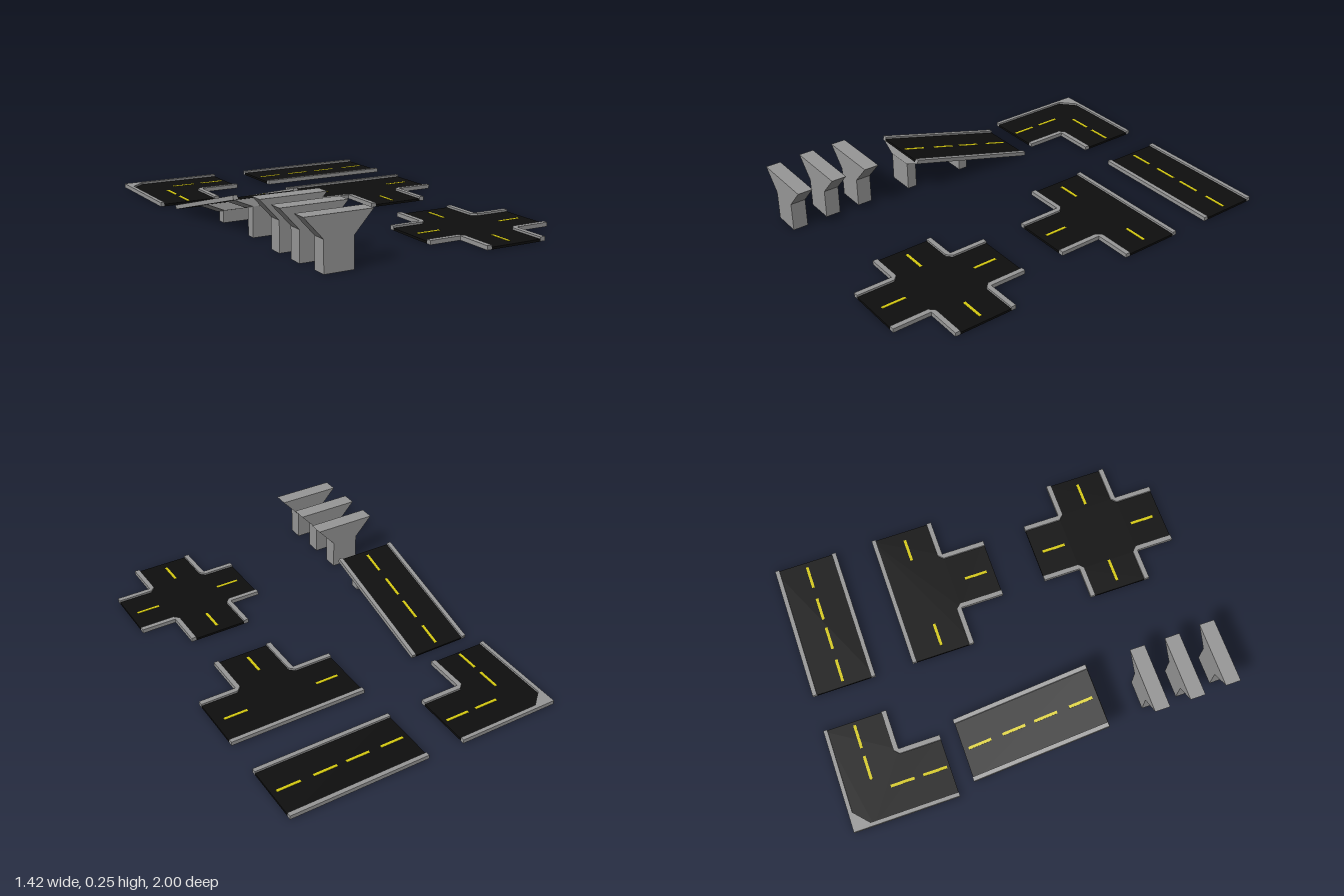
import * as THREE from 'three';

const asphalt = new THREE.MeshStandardMaterial({ name: 'asphalt', color: 0x0e0e0e });
const concrete = new THREE.MeshStandardMaterial({ name: 'concrete', color: 0x979797 });
const paint = new THREE.MeshStandardMaterial({ name: 'yellow paint', color: 0xd6ca10 });

const W = 0.025;      // curb width
const E = 0.001;      // curb overhang past the road slab
const ROAD_TOP = 0.012, CURB_TOP = 0.022;

// Horizontal slab from a plan outline of [x, z] points
function slab(parent, name, points, y0, y1, material) {
  const shape = new THREE.Shape(points.map(([x, z]) => new THREE.Vector2(x, -z)));
  const geo = new THREE.ExtrudeGeometry(shape, { depth: y1 - y0, bevelEnabled: false });
  geo.rotateX(-Math.PI / 2).translate(0, y0, 0);
  return add(parent, name, geo, material);
}

function add(parent, name, geo, material) {
  const mesh = new THREE.Mesh(geo, material);
  mesh.name = name;
  parent.add(mesh);
  return mesh;
}

function box(parent, name, x0, x1, y0, y1, z0, z1, material) {
  const geo = new THREE.BoxGeometry(x1 - x0, y1 - y0, z1 - z0);
  geo.translate((x0 + x1) / 2, (y0 + y1) / 2, (z0 + z1) / 2);
  return add(parent, name, geo, material);
}

const road = (g, points) => slab(g, 'roadSurface', points, 0.001, ROAD_TOP, asphalt);
const curb = (g, points) => slab(g, 'curb', points, 0.0015, CURB_TOP, concrete);
const straightCurb = (g, x0, x1, z0, z1) => curb(g, [[x0, z0], [x1, z0], [x1, z1], [x0, z1]]);

// Curb around a re-entrant corner; (sx, sz) points to the empty quadrant
function cornerCurb(g, cx, cz, sx, sz, lx, lz) {
  const ex = cx + sx * lx, ez = cz + sz * lz;
  curb(g, [[ex, cz], [cx, cz], [cx, ez], [cx - sx * W, ez],
    [cx - sx * W, cz], [cx, cz - sz * W], [ex, cz - sz * W]]);
}

// Lane dashes along x, and along z (cut through the slab)
const dashX = (g, z, x0, x1) =>
  box(g, 'laneDash', x0, x1, ROAD_TOP - 0.002, ROAD_TOP + 0.0015, z - 0.007, z + 0.007, paint);
const dashZ = (g, x, z0, z1) =>
  box(g, 'laneDash', x - 0.007, x + 0.007, 0, ROAD_TOP + 0.0015, z0, z1, paint);

function piece(parent, name) {
  const g = new THREE.Group();
  g.name = name;
  parent.add(g);
  return g;
}

// Straight road along x, centred
function straightRoad(parent, name) {
  const g = piece(parent, name), l = 0.3515, h = 0.162;
  road(g, [[-l, -h + E], [l, -h + E], [l, h - E], [-l, h - E]]);
  straightCurb(g, -l - E, l + E, -h, -h + 0.022);
  straightCurb(g, -l - E, l + E, h - 0.022, h);
  for (const x of [-0.325, -0.145, 0.022, 0.205]) dashX(g, 0, x, x + 0.12);
  return g;
}

function cornerRoad(parent) {
  const g = piece(parent, 'cornerRoad');
  const x0 = -0.71, x1 = -0.187, xi = -0.392, z0 = -1, z1 = -0.47, zi = -0.68, c = 0.075;
  road(g, [[x0 + E, z1 - E], [x0 + E, z0 + c + W], [x0 + c + W, z0 + E], [x1 - E, z0 + E],
    [x1 - E, zi - E], [xi - E, zi - E], [xi - E, z1 - E]]);
  // Outer curb with the filled, bevelled corner
  curb(g, [[x0, z1], [x0, z0], [x1, z0], [x1, z0 + 0.02], [x0 + 0.095, z0 + 0.02],
    [x0 + 0.02, z0 + 0.088], [x0 + 0.02, z1]]);
  cornerCurb(g, xi, zi, 1, 1, x1 - xi, z1 - zi);
  dashX(g, -0.848, -0.492, -0.37);
  dashX(g, -0.848, -0.328, -0.207);
  dashZ(g, -0.554, -0.77, -0.65);
  dashZ(g, -0.554, -0.606, -0.485);
}

function teeRoad(parent) {
  const g = piece(parent, 'teeRoad');
  const x0 = 0.002, x1 = 0.706, a = 0.202, b = 0.516, z0 = -0.482, zi = -0.158, z1 = 0.066;
  road(g, [[x0 + E, z0 + E], [x1 - E, z0 + E], [x1 - E, zi - E], [b - E, zi - E],
    [b - E, z1 - E], [a + E, z1 - E], [a + E, zi - E], [x0 + E, zi - E]]);
  straightCurb(g, x0, x1, z0, z0 + 0.022);
  cornerCurb(g, a, zi, -1, 1, a - x0, z1 - zi);
  cornerCurb(g, b, zi, 1, 1, x1 - b, z1 - zi);
  dashX(g, -0.317, 0.047, 0.167);
  dashX(g, -0.317, 0.537, 0.658);
  dashZ(g, 0.35, -0.09, 0.028);
}

function crossRoad(parent) {
  const g = piece(parent, 'crossRoad');
  const x0 = 0.042, x1 = 0.704, a = 0.204, b = 0.524, z0 = 0.293, z1 = 0.997, c = 0.484, d = 0.804;
  road(g, [[x0 + E, c + E], [a + E, c + E], [a + E, z0 + E], [b - E, z0 + E],
    [b - E, c + E], [x1 - E, c + E], [x1 - E, d - E], [b - E, d - E],
    [b - E, z1 - E], [a + E, z1 - E], [a + E, d - E], [x0 + E, d - E]]);
  for (const [cx, sx, lx] of [[a, -1, a - x0], [b, 1, x1 - b]]) {
    cornerCurb(g, cx, c, sx, -1, lx, c - z0);
    cornerCurb(g, cx, d, sx, 1, lx, z1 - d);
  }
  dashX(g, 0.645, 0.083, 0.204);
  dashX(g, 0.645, 0.543, 0.664);
  dashZ(g, 0.36, 0.338, 0.46);
  dashZ(g, 0.36, 0.83, 0.952);
}

// Upright profile in x-y, extruded from z0 to z1
function upright(parent, name, points, z0, z1) {
  const shape = new THREE.Shape(points.map(([x, y]) => new THREE.Vector2(x, y)));
  const geo = new THREE.ExtrudeGeometry(shape, { depth: z1 - z0, bevelEnabled: false });
  geo.translate(0, 0, z0);
  return add(parent, name, geo, concrete);
}

function ramp(parent) {
  const g = piece(parent, 'ramp');
  g.position.x = -0.503;
  const deck = piece(g, 'rampDeck');
  deck.position.set(0, 0.0915, -0.04);
  deck.rotation.x = -Math.PI / 12;
  straightRoad(deck, 'rampRoad').rotation.y = -Math.PI / 2;
  // Tapered brackets lie under the tilted deck, posts stay vertical
  for (const [z0, z1] of [[0.265, 0.3495], [-0.054, 0.036]])
    upright(deck, 'bracket', [[-0.158, 0.0005], [-0.07, -0.038], [0.07, -0.038], [0.158, 0.0005]], z0, z1);
  box(g, 'tallPost', -0.07, 0.07, 0, 0.15, 0.254, 0.304, concrete);
  box(g, 'shortPost', -0.07, 0.07, 0, 0.068, -0.062, -0.015, concrete);
}

// Free-standing piers with flared heads
function pier(parent, x, z) {
  const p = upright(parent, 'pier', [[-0.071, 0], [0.071, 0], [0.071, 0.145], [0.163, 0.246],
    [-0.163, 0.246], [-0.071, 0.145]], -0.038, 0.038);
  p.position.set(x, 0, z);
}

export function createModel() {
  const model = new THREE.Group();
  model.name = 'roadKit';
  straightRoad(model, 'straightRoad').position.set(0.353, 0, -0.838);
  cornerRoad(model);
  teeRoad(model);
  crossRoad(model);
  ramp(model);
  for (const [x, z] of [[-0.518, 0.553], [-0.518, 0.733], [-0.509, 0.918]]) pier(model, x, z);
  return model;
}
